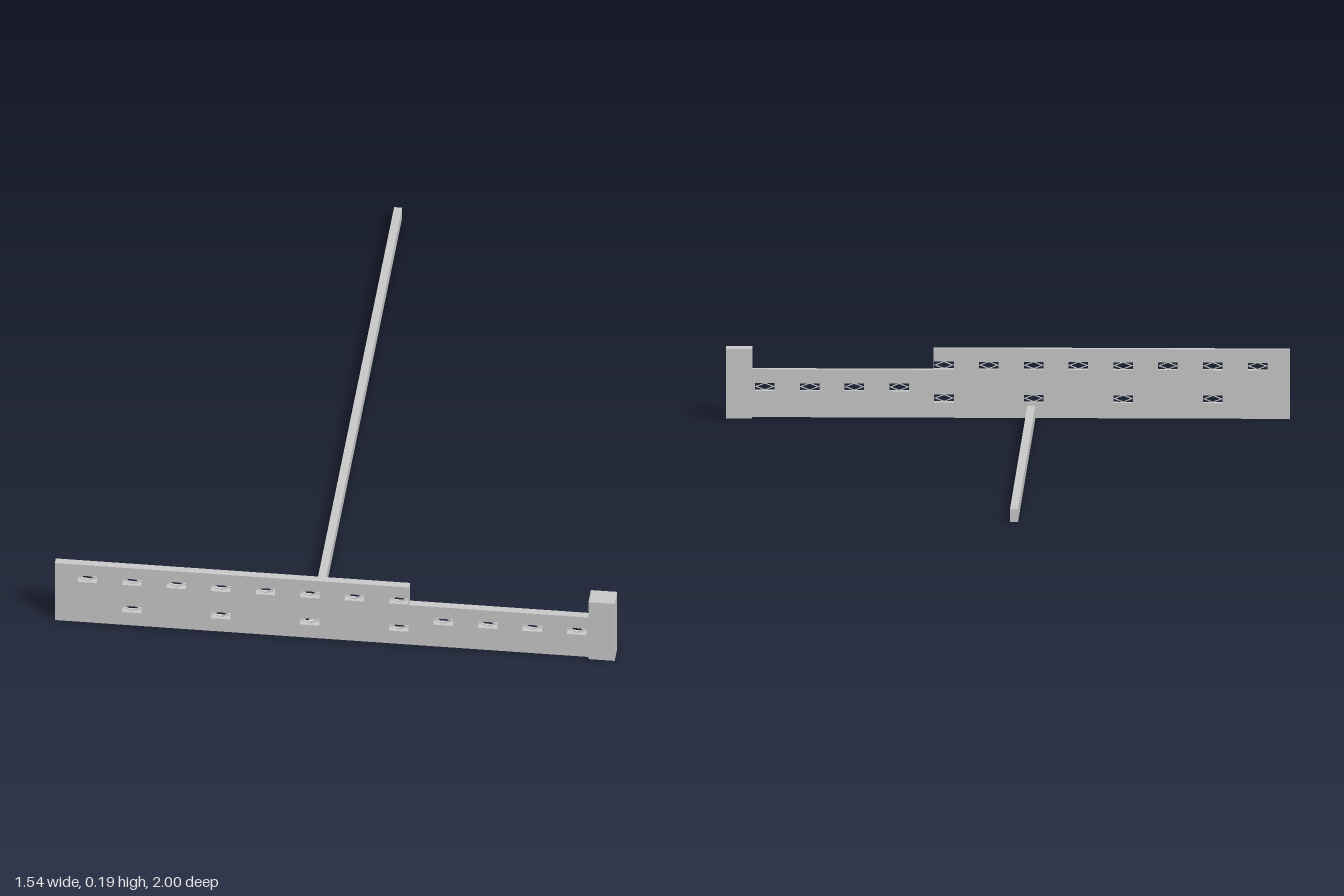
import * as THREE from 'three';

const material = new THREE.MeshStandardMaterial({ color: 0xcccccc, flatShading: true, side: THREE.DoubleSide });

// Closed outline from a short list of corners
function outline(points, Type = THREE.Shape) {
  return new Type(points.map(([x, y]) => new THREE.Vector2(x, y)));
}

function box(name, x0, x1, y0, y1, z0, z1) {
  const mesh = new THREE.Mesh(new THREE.BoxGeometry(x1 - x0, y1 - y0, z1 - z0), material);
  mesh.name = name;
  mesh.position.set((x0 + x1) / 2, (y0 + y1) / 2, (z0 + z1) / 2);
  return mesh;
}

function extrude(name, shape, depth, z) {
  const mesh = new THREE.Mesh(new THREE.ExtrudeGeometry(shape, { depth, bevelEnabled: false }), material);
  mesh.name = name;
  mesh.position.z = z;
  return mesh;
}

export function createModel() {
  const model = new THREE.Group();
  model.name = 'wallWithBeam';

  const zBack = 0.968, depth = 0.022;
  const hw = 0.027, hh = 0.0105; // half size of an opening

  // Opening centres: an upper and a sparser lower row, then one row in the low part
  const centres = [];
  for (let i = 0; i < 12; i++) {
    const x = -0.681 + 0.1223 * i;
    if (i < 8) {
      centres.push([x, 0.144]);
      if (i % 2) centres.push([x, 0.053]);
    } else centres.push([x, 0.083]);
  }

  // Stepped wall with rectangular openings
  const wall = outline([[-0.77, 0], [0.7, 0], [0.7, 0.132], [0.204, 0.132], [0.204, 0.191], [-0.77, 0.191]]);
  for (const [x, y] of centres) {
    wall.holes.push(outline([[x - hw, y - hh], [x - hw, y + hh], [x + hw, y + hh], [x + hw, y - hh]], THREE.Path));
  }
  model.add(extrude('steppedWall', wall, depth, zBack));

  // Thin diamond lattice in every opening
  const diamond = (s, Type) => outline([[-hw * s, 0], [0, -hh * s], [hw * s, 0], [0, hh * s]], Type);
  const lattice = diamond(1);
  lattice.holes.push(diamond(0.78, THREE.Path));
  const lattices = new THREE.Group();
  lattices.name = 'openingLattices';
  for (const [x, y] of centres) {
    const bar = extrude('diamondLattice', lattice, 0.006, zBack + 0.008);
    bar.position.x = x;
    bar.position.y = y;
    lattices.add(bar);
  }
  model.add(lattices);

  // End post and the long beam behind the wall
  model.add(box('endPost', 0.698, 0.77, 0, 0.191, 0.943, 1));
  model.add(box('longBeam', -0.075, -0.053, 0, 0.036, -1, 0.959));

  return model;
}
